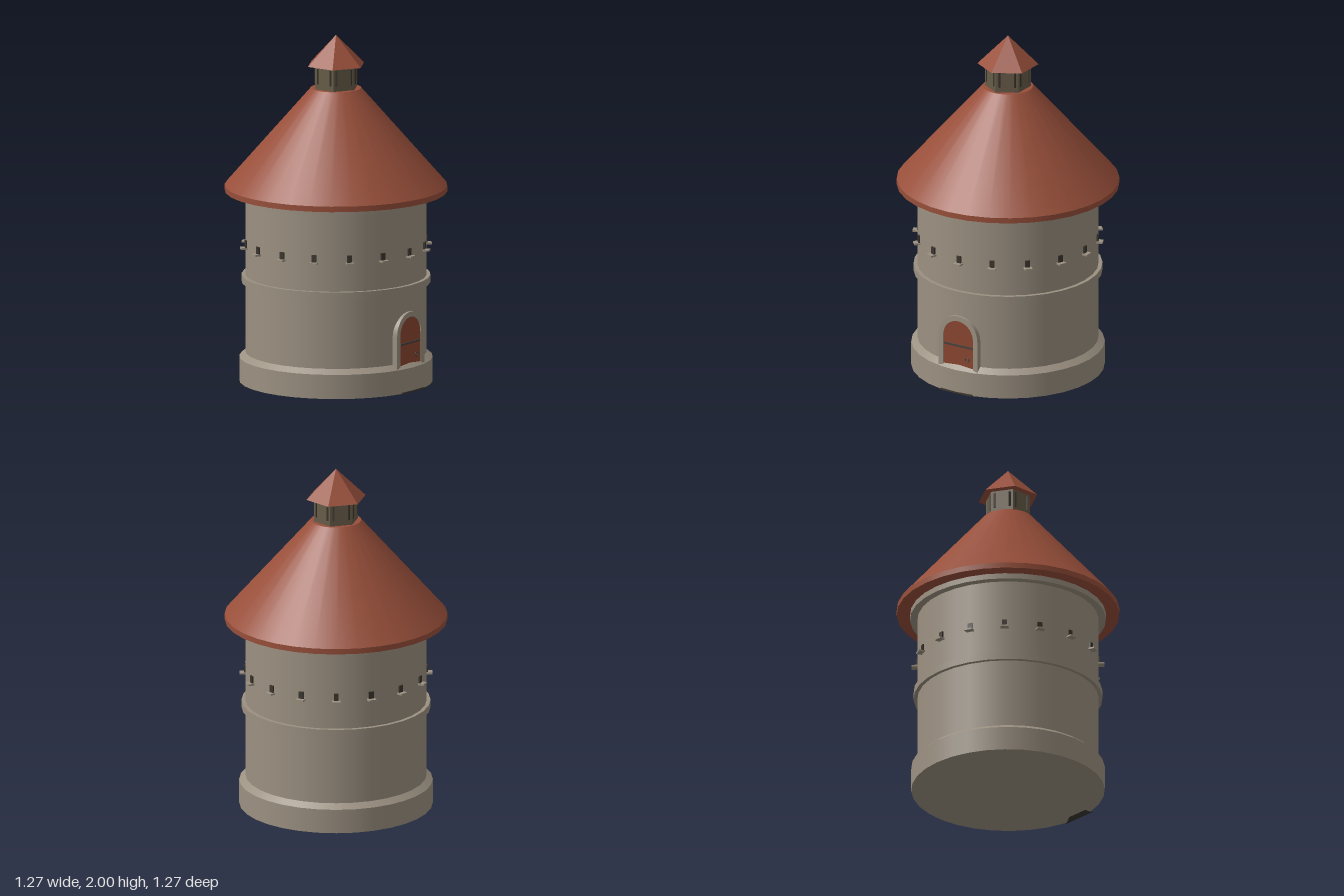
import * as THREE from 'three';

const material = (name, color) => {
  const m = new THREE.MeshStandardMaterial({ color });
  m.name = name;
  return m;
};

export function createModel() {
  const stone = material('stone', 0x9c9182);
  const tile = material('roofTile', 0x984f3a);
  const doorWood = material('doorWood', 0x8a4630);
  const timber = material('timber', 0x685c49);
  const dark = material('darkOpening', 0x3c372f);
  const iron = material('iron', 0x45413b);

  const group = new THREE.Group();
  const add = (name, geometry, mat, x = 0, y = 0, z = 0, parent = group) => {
    const mesh = new THREE.Mesh(geometry, mat);
    mesh.name = name;
    mesh.position.set(x, y, z);
    parent.add(mesh);
    return mesh;
  };
  // Cylinder or cone between two heights
  const drum = (name, rBottom, rTop, y0, y1, mat, sides = 32) => {
    let g = new THREE.CylinderGeometry(rTop, rBottom, y1 - y0, sides);
    if (sides < 12) {
      g = g.toNonIndexed();
      g.computeVertexNormals();
    }
    return add(name, g, mat, 0, (y0 + y1) / 2, 0);
  };

  // Tower
  drum('basePlinth', 0.55, 0.55, 0, 0.14, stone);
  drum('plinthSlope', 0.55, 0.515, 0.14, 0.168, stone);
  drum('towerWall', 0.515, 0.515, 0.15, 1.1, stone);
  drum('stringCourse', 0.537, 0.537, 0.573, 0.615, stone);
  drum('cornice', 0.557, 0.557, 1.068, 1.102, stone);

  // Roof, lantern and cap
  drum('roofEave', 0.633, 0.633, 1.1, 1.132, tile);
  drum('roof', 0.633, 0.143, 1.132, 1.695, tile);
  drum('lantern', 0.13, 0.13, 1.69, 1.83, timber, 6);
  drum('lanternCap', 0.174, 0, 1.828, 2, tile, 6);

  // Parts repeated around the axis, facing outwards
  const ring = (count, name, build) => {
    for (let i = 0; i < count; i++) {
      const pivot = new THREE.Group();
      pivot.name = name;
      pivot.rotation.y = (i / count) * Math.PI * 2;
      build(pivot);
      group.add(pivot);
    }
  };
  ring(6, 'lanternSlot', p =>
    add('slot', new THREE.BoxGeometry(0.045, 0.09, 0.02), dark, 0, 1.77, 0.113, p));
  ring(16, 'slitWindow', p => {
    add('opening', new THREE.BoxGeometry(0.028, 0.042, 0.03), dark, 0, 0.804, 0.508, p);
    add('sill', new THREE.BoxGeometry(0.046, 0.01, 0.05), stone, 0, 0.779, 0.523, p);
  });

  // Arched doorway
  const arch = (Type, half, bottom, spring) => {
    const s = new Type();
    s.moveTo(-half, bottom);
    s.lineTo(half, bottom);
    s.lineTo(half, spring);
    s.absarc(0, spring, half, 0, Math.PI, false);
    s.lineTo(-half, bottom);
    return s;
  };
  const extrude = (shape, depth) =>
    new THREE.ExtrudeGeometry(shape, { depth, bevelEnabled: false, curveSegments: 16 });
  const frame = arch(THREE.Shape, 0.13, 0.14, 0.33);
  frame.holes.push(arch(THREE.Path, 0.1, 0.141, 0.33));
  add('doorFrame', extrude(frame, 0.06), stone, 0, 0, 0.468);
  add('door', extrude(arch(THREE.Shape, 0.1, 0.14, 0.33), 0.05), doorWood, 0, 0, 0.471);
  add('doorStrap', new THREE.BoxGeometry(0.19, 0.01, 0.008), iron, 0, 0.28, 0.524);
  add('doorRing', new THREE.TorusGeometry(0.012, 0.003, 6, 16), iron, 0.06, 0.205, 0.526);
  add('doorStep', new THREE.BoxGeometry(0.21, 0.008, 0.05), dark, 0, 0.004, 0.527);

  return group;
}
